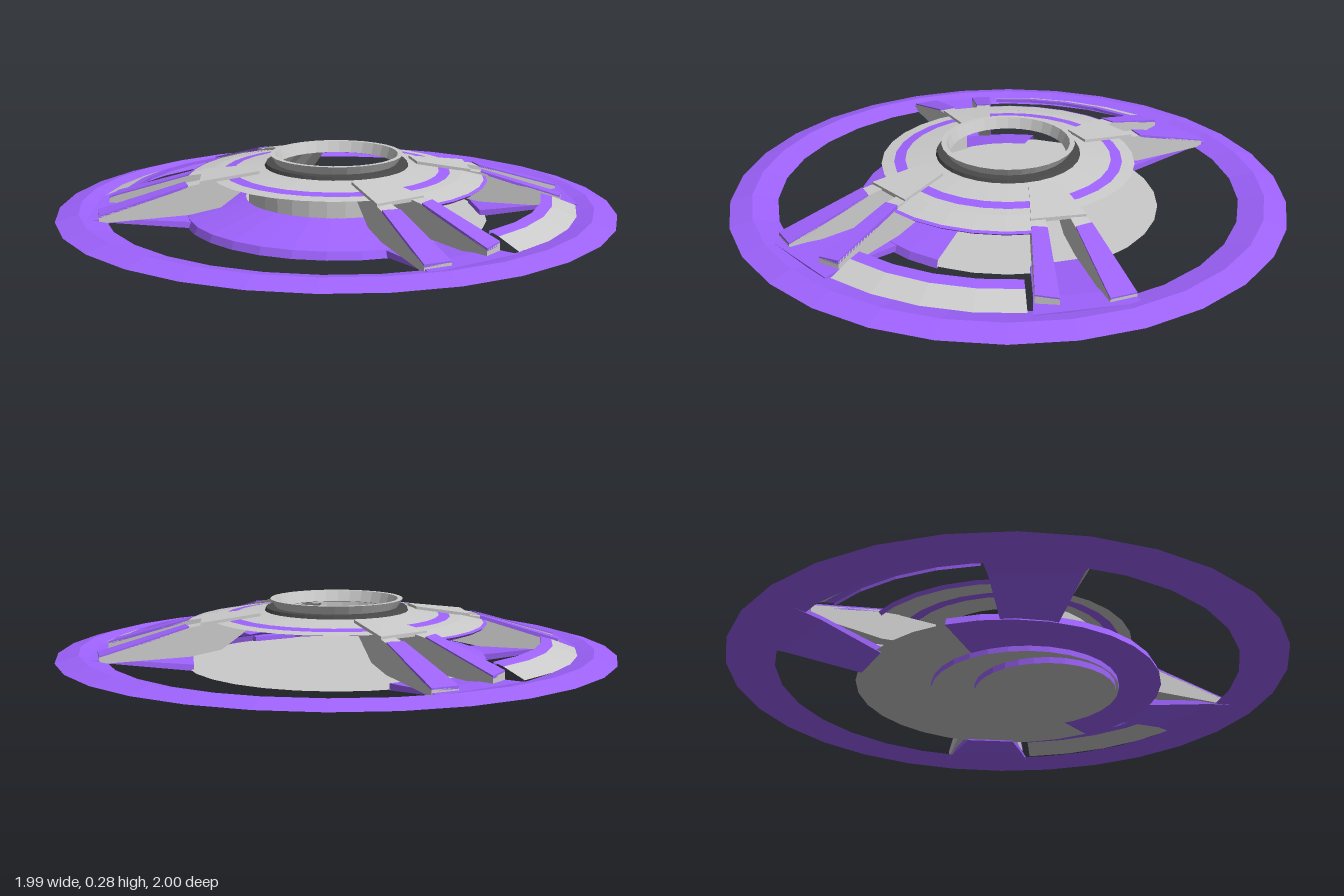
import * as THREE from 'three';

const make = (color) => new THREE.MeshStandardMaterial({ color, flatShading: true, side: THREE.DoubleSide });
const grey = make(0xcccccc), purple = make(0x9f63ff), dark = make(0x4a4a4a);
const rad = THREE.MathUtils.degToRad;
const { lerp, mapLinear } = THREE.MathUtils;

export function createModel() {
  const model = new THREE.Group();
  const add = (name, geometry, material, parent = model) => {
    const mesh = new THREE.Mesh(geometry, material);
    mesh.name = name;
    parent.add(mesh);
    return mesh;
  };
  // Revolved profile [radius, y], optionally only an arc centred on an angle measured from +z
  const ring = (name, profile, material, centre = 0, half = 180, segments = 30) => {
    const points = profile.map(([r, y]) => new THREE.Vector2(r, y));
    const start = half === 180 ? 0 : rad(centre - half);
    return add(name, new THREE.LatheGeometry(points, segments, start, rad(2 * half)), material);
  };

  // Outer ring with a raised ridge
  ring('outerRing', [[0.83, 0.09], [1, 0.09], [0.92, 0.112], [0.83, 0.09]], purple);

  // Upper saucer: conical shell with a coloured band
  ring('upperShell', [[0.24, 0.24], [0.37, 0.224]], grey);
  ring('shellBand', [[0.37, 0.224], [0.41, 0.219]], purple);
  ring('shellRim', [[0.41, 0.219], [0.455, 0.214]], grey);

  // Collar around the central opening
  ring('collarBase', [[0.215, 0.238], [0.26, 0.238], [0.255, 0.25], [0.215, 0.25]], dark);
  ring('collar', [[0.215, 0.24], [0.24, 0.28], [0.222, 0.28], [0.208, 0.24]], grey);

  // Lower hull: full floor, front bowl and front wall
  ring('hullFloor', [[0, 0.05], [0.545, 0.05]], grey);
  ring('frontBowl', [[0.33, 0.125], [0.54, 0.072], [0.55, 0.045], [0.3, 0.04]], purple, 0, 83, 14);
  ring('frontWall', [[0.33, 0.12], [0.33, 0.225]], grey, 0, 43, 8);

  // Stepped discs under the hull, shifted forward
  for (const [name, r, z, y0, y1] of [['middleStep', 0.335, 0.07, 0.022, 0.042], ['bottomStep', 0.25, 0.15, 0, 0.022]]) {
    add(name, new THREE.CylinderGeometry(r, r, y1 - y0, 30), [purple, grey, grey]).position.set(0, (y0 + y1) / 2, z);
  }

  // Side skirts of the saucer and the raised side panels on the ring
  for (const centre of [90, -90]) {
    ring('sideSkirt', [[0.45, 0.216], [0.53, 0.2]], grey, centre, 29, 5);
    ring('sideSkirtEdge', [[0.53, 0.2], [0.543, 0.196], [0.53, 0.186]], purple, centre, 29, 5);
    ring('sidePanel', [[0.86, 0.105], [0.775, 0.136]], grey, centre, 22, 4);
    ring('sidePanelEdge', [[0.775, 0.136], [0.735, 0.146], [0.735, 0.135]], purple, centre, 22, 4);
  }

  // Spokes, mirrored into four quadrants
  for (const sx of [1, -1]) for (const sz of [1, -1]) {
    const spoke = new THREE.Group();
    spoke.name = 'spoke';
    model.add(spoke);
    buildSpoke(sx, sz, (name, sections, material) => add(name, loft(sections, sx, sz), material, spoke));
  }
  return model;
}

// Height of the conical upper surface at a radius
const coneY = (r) => (r > 0.52 ? mapLinear(r, 0.87, 0.52, 0.108, 0.21) : mapLinear(r, 0.52, 0.25, 0.21, 0.243));

// Section of a strip: plan points a and b, each with a top and a bottom height
const section = (a, b, top, bottom) => [
  [a[0], top(a), a[1]], [b[0], top(b), b[1]], [b[0], bottom, b[1]], [a[0], bottom, a[1]],
];
const onCone = (lift) => ([x, z]) => coneY(Math.hypot(x, z)) + lift;
const mix = (p, q, t) => [lerp(p[0], q[0], t), lerp(p[1], q[1], t)];

function buildSpoke(sx, sz, put) {
  // Plan corners: outer pair, inner pair
  const fins = [
    [[0.6, 0.61], [0.66, 0.54], [0.21, 0.22], [0.18, 0.24]],
    [[0.72, 0.4], [0.735, 0.325], [0.25, 0.155], [0.235, 0.185]],
  ];
  const steps = [[0, 0.09], [0.55, 0.1], [0.75, 0.12], [1, 0.22]];
  for (const [oa, ob, ib, ia] of fins) {
    // Grey walls with a coloured cap following the cone
    const at = (t) => [mix(oa, ia, t), mix(ob, ib, t)];
    put('spokeFin', steps.map(([t, y]) => section(...at(t), onCone(0), y)), grey);
    put('spokeCap', [0, 0.3, 0.55].map((t) => {
      const [a, b] = at(t);
      return section(a, b, onCone(0.005), onCone(-0.004)(a));
    }), purple);
  }
  // Deck joining the fins near the collar
  put('spokeDeck', [0.62, 1].map((t) => {
    const a = mix(fins[0][0], fins[0][3], t), b = mix(fins[1][1], fins[1][2], t);
    return section(a, b, onCone(0.006), onCone(-0.006)(a));
  }), grey);
  // Strut between the fins, descending from the ring to the hull
  put('spokeStrut', [
    section([0.63, 0.64], [0.8, 0.34], () => 0.104, 0.09),
    section([0.57, 0.57], [0.7, 0.31], () => 0.1, 0.086),
    section([0.37, 0.38], [0.47, 0.23], () => 0.068, 0.045),
  ], purple);
}

// Closed solid through four-cornered sections, mirrored by sx and sz
function loft(sections, sx, sz) {
  const positions = sections.flat().flatMap(([x, y, z]) => [x * sx, y, z * sz]);
  const index = [];
  const quad = (a, b, c, d) => index.push(...(sx * sz > 0 ? [a, b, c, a, c, d] : [a, c, b, a, d, c]));
  const last = (sections.length - 1) * 4;
  for (let s = 0; s < last; s += 4) {
    for (let i = 0; i < 4; i++) {
      const j = (i + 1) % 4;
      quad(s + i, s + j, s + 4 + j, s + 4 + i);
    }
  }
  quad(3, 2, 1, 0);
  quad(last, last + 1, last + 2, last + 3);
  const geometry = new THREE.BufferGeometry();
  geometry.setAttribute('position', new THREE.Float32BufferAttribute(positions, 3));
  geometry.setIndex(index);
  const flat = geometry.toNonIndexed();
  flat.computeVertexNormals();
  return flat;
}
